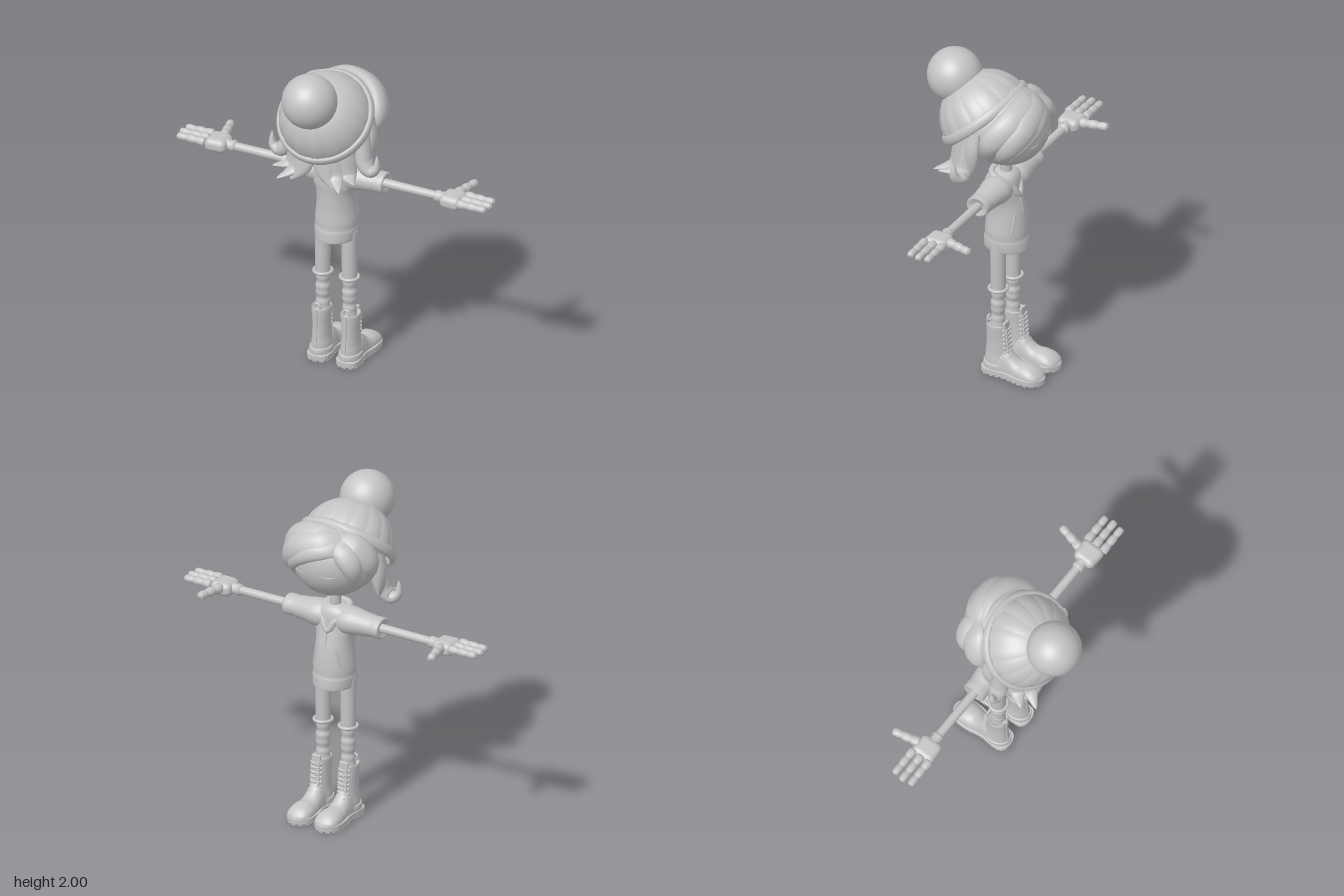
import * as THREE from 'three';
import { RoundedBoxGeometry } from 'three/addons/geometries/RoundedBoxGeometry.js';

const grey = new THREE.MeshStandardMaterial({ color: 0xc4c4c4 });
grey.name = 'grey';
const V = (x, y, z) => new THREE.Vector3(x, y, z);
const { sin, cos, PI, pow, abs, min, max, floor } = Math;

function add(parent, name, geo, x = 0, y = 0, z = 0) {
  const m = new THREE.Mesh(geo, grey);
  m.name = name;
  m.position.set(x, y, z);
  parent.add(m);
  return m;
}

// Seamless closed skin from rings: fn(angle, v) gives a point
function skin(fn, nu, nv) {
  const pos = [], idx = [];
  for (let j = 0; j <= nv; j++)
    for (let i = 0; i < nu; i++) pos.push(...fn((i / nu) * 2 * PI, j / nv).toArray());
  for (let j = 0; j < nv; j++)
    for (let i = 0; i < nu; i++) {
      const k = (i + 1) % nu, a = j * nu + i, b = j * nu + k, c = b + nu, d = a + nu;
      idx.push(a, b, c, a, c, d);
    }
  const g = new THREE.BufferGeometry();
  g.setAttribute('position', new THREE.Float32BufferAttribute(pos, 3));
  g.setIndex(idx);
  g.computeVertexNormals();
  return g;
}

// Smooth interpolation through rows of numbers
function sample(rows, v) {
  const n = rows.length - 1, f = min(v * n, n - 1e-6), i = floor(f), t = f - i;
  const r = (k) => rows[max(0, min(n, k))];
  return rows[0].map((_, c) => {
    const a = r(i - 1)[c], b = r(i)[c], d = r(i + 1)[c], e = r(i + 2)[c];
    return b + 0.5 * t * (d - a + t * (2 * a - 5 * b + 4 * d - e + t * (3 * (b - d) + e - a)));
  });
}

// Upright body from rows [y, centreZ, radiusX, radiusZ]
const upright = (rows, nu = 32) => skin((u, v) => {
  const [y, zc, rx, rz] = sample(rows, v);
  return V(rx * sin(u), y, zc + rz * cos(u));
}, nu, rows.length * 4);

const lathe = (pts, n = 24) => new THREE.LatheGeometry(pts.map(([r, y]) => new THREE.Vector2(r, y)), n);
const alongX = (pts, n) => lathe(pts, n).rotateZ(-PI / 2);
const tube = (pts, r, closed = false) =>
  new THREE.TubeGeometry(new THREE.CatmullRomCurve3(pts, closed), 32, r, 8, closed);

// Head surface: lon 0 faces the front of the face, in degrees
const HEAD = V(0, 1.615, -0.105);
function onHead(lon, lat) {
  const a = (lon * PI) / 180, b = (lat * PI) / 180;
  return V(0.25 * sin(a) * cos(b), 0.235 * sin(b), -0.25 * cos(a) * cos(b)).add(HEAD);
}

// Lock that hugs the head, thin at the parting and fullest beside the cheeks
function headLock(lonLat, w, th) {
  const path = new THREE.CatmullRomCurve3(lonLat.map(([a, b]) => onHead(a, b)));
  return skin((u, v) => {
    const p = path.getPoint(v), t = path.getTangent(v);
    const n = p.clone().sub(HEAD), len = n.length();
    n.normalize();
    const s = pow(max(0, sin(PI * (0.12 + 0.88 * v))), 0.6);
    const bulge = 0.004 + th * pow(max(0, sin(PI * pow(v, 1.4))), 0.8);
    const q = p.addScaledVector(n.cross(t).normalize(), w * s * cos(u)).sub(HEAD).normalize();
    return q.multiplyScalar(len + bulge * sin(u)).add(HEAD);
  }, 16, 28);
}

// Free hanging lock, tapering to a tip
function hangLock(pts, side, w, th) {
  const path = new THREE.CatmullRomCurve3(pts);
  return skin((u, v) => {
    const t = path.getTangent(v), n = t.clone().cross(side).normalize();
    const s = pow(max(0, 1 - v), 0.5) * (0.7 + 0.5 * sin(PI * v));
    return path.getPoint(v).addScaledVector(side, w * s * cos(u)).addScaledVector(n, th * s * sin(u));
  }, 16, 24);
}

function buildHead(g) {
  add(g, 'head', new THREE.SphereGeometry(1, 40, 28).scale(0.25, 0.235, 0.25), ...HEAD.toArray());
  add(g, 'neck', new THREE.CylinderGeometry(0.033, 0.036, 0.16, 20), 0, 1.34, -0.1);

  // Side-parted fringe
  [
    [[[-58, 34], [-20, 32], [14, 20], [42, -4], [56, -36]], 0.06, 0.032],
    [[[-52, 38], [-10, 42], [34, 24], [60, -6], [70, -44]], 0.085, 0.052],
    [[[-46, 44], [5, 50], [54, 32], [82, 0], [94, -46]], 0.09, 0.05],
    [[[-40, 44], [-46, 26], [-56, 2], [-64, -36]], 0.07, 0.045],
    [[[-44, 44], [-66, 32], [-84, 2], [-94, -42]], 0.085, 0.045],
  ].forEach(([p, w, th]) => add(g, 'fringeLock', headLock(p, w, th)));

  for (const s of [1, -1]) {
    // Closed eyelid creases
    add(g, 'eyelid', tube([14, 23, 32].map((a, i) => onHead(s * a, i === 1 ? -11 : -9)), 0.003));
    // Upturned side flips
    add(g, 'sideFlip', hangLock([V(s * 0.22, 1.64, 0), V(s * 0.23, 1.5, 0.015), V(s * 0.245, 1.405, 0.03),
      V(s * 0.29, 1.362, 0.04), V(s * 0.33, 1.39, 0.05), V(s * 0.335, 1.475, 0.05)], V(0, 0, 1), 0.065, 0.055));
    add(g, 'templeLock', hangLock([V(s * 0.25, 1.66, -0.04), V(s * 0.268, 1.54, -0.03), V(s * 0.258, 1.43, -0.02),
      V(s * 0.24, 1.35, 0)], V(0, 0, 1), 0.045, 0.025));
    // Broad pointed locks sweeping outward at the nape
    [[0.06, 0.14, 1.28, 0.21, 0.2, 0.075], [0.1, 0.2, 1.3, 0.265, 0.18, 0.075],
      [0.16, 0.26, 1.34, 0.2, 0.13, 0.075]].forEach(([x0, x1, y, z, zr, w]) => {
      const side = V(zr, 0, -s * x0).normalize();
      add(g, 'napeLock', hangLock([V(s * x0, 1.56, zr - 0.05), V(s * x0, 1.44, zr - 0.03),
        V(s * (x0 * 0.7 + x1 * 0.3), 1.34, zr - 0.01), V(s * x1, y, z)], side, w, 0.04));
    });
  }
  add(g, 'backHair', new THREE.SphereGeometry(1, 28, 20).scale(0.23, 0.2, 0.2), 0, 1.6, -0.01);

  // Ribbed hat tipped towards the back
  const hat = new THREE.Group();
  hat.name = 'hat';
  hat.position.set(0, 1.632, 0.03);
  hat.rotation.x = 0.736;
  g.add(hat);
  add(hat, 'hatCrown', skin((u, v) => {
    const a = (v * PI) / 2, r = 0.272 * cos(a) * (0.985 + 0.02 * pow(abs(sin(8 * u)), 0.6));
    return V(r * sin(u), 0.26 * sin(a), r * cos(u));
  }, 128, 18));
  add(hat, 'hatBrim', skin((u, v) => {
    const a = -PI + v * 2 * PI, r = 0.274 + 0.018 * cos(a);
    return V(r * sin(u), 0.012 + 0.032 * sin(a), r * cos(u));
  }, 56, 14));
  add(g, 'pompom', new THREE.SphereGeometry(0.16, 40, 28), 0, 1.84, 0.24);
}

function buildHoodie(g) {
  add(g, 'hoodieBody', upright([
    [0.83, -0.105, 0, 0], [0.825, -0.105, 0.1, 0.115], [0.81, -0.105, 0.118, 0.133], [0.825, -0.105, 0.124, 0.135],
    [0.87, -0.105, 0.127, 0.131], [0.89, -0.105, 0.124, 0.126], [0.93, -0.105, 0.125, 0.125],
    [0.99, -0.105, 0.119, 0.12], [1.06, -0.1, 0.114, 0.114], [1.12, -0.092, 0.118, 0.107],
    [1.18, -0.083, 0.137, 0.102], [1.25, -0.083, 0.14, 0.094], [1.29, -0.085, 0.1, 0.075],
    [1.31, -0.088, 0.04, 0.04], [1.31, -0.09, 0, 0]], 40));
  // Hood collar running down to the V neck
  add(g, 'hoodCollar', tube([V(0, 1.3, -0.022), V(0.065, 1.297, -0.045), V(0.075, 1.275, -0.11),
    V(0.04, 1.225, -0.165), V(0, 1.165, -0.186), V(-0.04, 1.225, -0.165), V(-0.075, 1.275, -0.11),
    V(-0.065, 1.297, -0.045)], 0.02, true));
  add(g, 'zip', tube([V(0, 1.17, -0.192), V(0, 1.12, -0.199), V(0, 1.06, -0.213)], 0.005));
  for (const s of [1, -1])
    add(g, 'pocketWelt', tube([V(s * 0.06, 1.06, -0.194), V(s * 0.078, 1.0, -0.193), V(s * 0.09, 0.94, -0.189)], 0.007));
}

function buildArm(g, s) {
  const arm = new THREE.Group();
  arm.name = s > 0 ? 'leftArm' : 'rightArm';
  arm.position.set(0, 1.222, -0.095);
  if (s < 0) arm.rotation.z = PI;
  g.add(arm);
  add(arm, 'sleeve', alongX([[0.06, 0.02], [0.083, 0.08], [0.08, 0.13], [0.07, 0.18], [0.064, 0.25], [0.06, 0.262],
    [0.063, 0.276], [0.063, 0.316], [0.059, 0.324], [0.05, 0.322], [0, 0.3]]).scale(1, 1, 1.12));
  add(arm, 'forearm', alongX([[0.027, 0.28], [0.025, 0.66]], 20));
  add(arm, 'wrist', alongX([[0.02, 0.635], [0.033, 0.642], [0.036, 0.655], [0.031, 0.67], [0.036, 0.7]], 20));
  const palm = add(arm, 'palm', new RoundedBoxGeometry(0.135, 0.084, 0.15, 4, 0.036), 0.75, 0, 0);
  const p = palm.geometry.attributes.position;
  for (let i = 0; i < p.count; i++) p.setZ(i, p.getZ(i) * (0.95 + p.getX(i) * 0.8));
  // Jointed digits, three bulging segments each
  const digit = (len, r) => {
    const pts = [];
    for (let i = 0; i <= 24; i++) {
      const t = i / 24;
      pts.push([i === 0 || i === 24 ? 0 : r * (1.02 - 0.25 * t) * (0.76 + 0.24 * pow(abs(sin(3 * PI * t)), 0.6)), t * len]);
    }
    return alongX(pts, 14);
  };
  [-0.055, 0.001, 0.057].forEach((z, i) => add(arm, 'finger', digit([0.19, 0.2, 0.19][i], 0.027), 0.8, 0.014 * s, z));
  const thumb = add(arm, 'thumb', digit(0.18, 0.031), 0.745, 0.012 * s, -0.05);
  thumb.rotation.y = 1.35;
}

function buildLeg(g, s) {
  const leg = new THREE.Group();
  leg.name = s > 0 ? 'leftLeg' : 'rightLeg';
  leg.position.set(s * 0.085, 0, -0.097);
  g.add(leg);
  add(leg, 'thigh', new THREE.CylinderGeometry(0.046, 0.044, 0.32, 24), 0, 0.7, 0);
  const wrinkles = [];
  for (let i = 0; i <= 36; i++)
    wrinkles.push([0.04 + 0.002 * sin(i * 0.9) + 0.003 * sin(i * 0.4), 0.3 + (i / 36) * 0.26]);
  add(leg, 'sock', lathe(wrinkles));
  add(leg, 'sockCuff', new THREE.TorusGeometry(0.052, 0.01, 10, 32).rotateX(PI / 2), 0, 0.555, 0);

  const boot = new THREE.Group();
  boot.name = 'boot';
  boot.position.x = s * 0.008;
  leg.add(boot);
  add(boot, 'bootShaft', upright([[0.03, -0.005, 0.06, 0.08], [0.09, -0.005, 0.058, 0.08], [0.14, -0.005, 0.052, 0.075],
    [0.22, -0.003, 0.051, 0.069], [0.28, 0, 0.055, 0.066], [0.318, 0, 0.057, 0.066], [0.327, 0, 0.053, 0.062],
    [0.318, 0, 0.045, 0.053], [0.3, 0, 0, 0]], 28));
  // Foot rows: z, half width, top height
  const foot = [[0.07, 0, 0.04], [0.066, 0.04, 0.09], [0.02, 0.06, 0.12], [-0.06, 0.058, 0.18], [-0.11, 0.06, 0.135],
    [-0.15, 0.066, 0.107], [-0.2, 0.074, 0.105], [-0.25, 0.072, 0.09], [-0.285, 0.05, 0.062], [-0.298, 0, 0.04]];
  add(boot, 'bootFoot', skin((u, v) => {
    const [z, w, top] = sample(foot, v), c = cos(u);
    return V(w * sin(u), c > 0 ? 0.035 + (top - 0.035) * pow(c, 0.8) : 0.035 + 0.01 * c, z);
  }, 28, 40));
  // Sole with tread blocks round its edge
  const rim = new THREE.CatmullRomCurve3([[0, 0.088], [0.055, 0.07], [0.066, 0.01], [0.06, -0.07], [0.078, -0.18],
    [0.068, -0.26], [0, -0.303], [-0.068, -0.26], [-0.078, -0.18], [-0.06, -0.07], [-0.066, 0.01], [-0.055, 0.07]]
    .map(([x, z]) => V(x, -z, 0)), true);
  const sole = new THREE.Shape(rim.getSpacedPoints(48).map((q) => new THREE.Vector2(q.x, q.y)));
  add(boot, 'sole', new THREE.ExtrudeGeometry(sole, {
    depth: 0.026, bevelEnabled: true, bevelSize: 0.004, bevelThickness: 0.004, bevelSegments: 2,
  }).rotateX(-PI / 2), 0, 0.011, 0);
  rim.getSpacedPoints(24).slice(0, 24).forEach((q, i) => {
    const t = rim.getTangentAt(i / 24);
    const lug = add(boot, 'tread', new THREE.BoxGeometry(0.026, 0.012, 0.022), q.x * 0.86, 0.006, -q.y * 0.95 - 0.004);
    lug.rotation.y = Math.atan2(t.y, t.x);
  });
  add(boot, 'heelBand', upright([[0.042, 0, 0.062, 0.08], [0.045, 0, 0.068, 0.086], [0.072, 0, 0.066, 0.084],
    [0.076, 0, 0.058, 0.076]], 28));
  // Tongue, laces, eyelets and pull loop
  const tongue = add(boot, 'tongue', new RoundedBoxGeometry(0.056, 0.23, 0.016, 3, 0.007), 0, 0.235, -0.063);
  tongue.rotation.x = 0.06;
  for (let i = 0; i < 7; i++) {
    const y = 0.13 + i * 0.028, z = -0.083 + 0.002 * i - (i === 0 ? 0.015 : 0);
    for (const k of [1, -1]) {
      const lace = add(boot, 'lace', new THREE.CapsuleGeometry(0.006, 0.05, 3, 8).rotateZ(PI / 2), 0, y, z);
      lace.rotation.z = k * 0.25;
      add(boot, 'eyelet', new THREE.SphereGeometry(0.009, 10, 8), k * 0.032, y, z + 0.014);
    }
  }
  add(boot, 'pullLoop', new THREE.TorusGeometry(0.02, 0.007, 8, 20), 0, 0.34, 0.055);
  add(boot, 'backSeam', tube([V(0, 0.325, 0.065), V(0, 0.2, 0.066), V(0, 0.08, 0.076)], 0.005));
}

export function createModel() {
  const g = new THREE.Group();
  g.name = 'figure';
  buildHead(g);
  buildHoodie(g);
  for (const s of [1, -1]) {
    buildArm(g, s);
    buildLeg(g, s);
  }
  return g;
}
